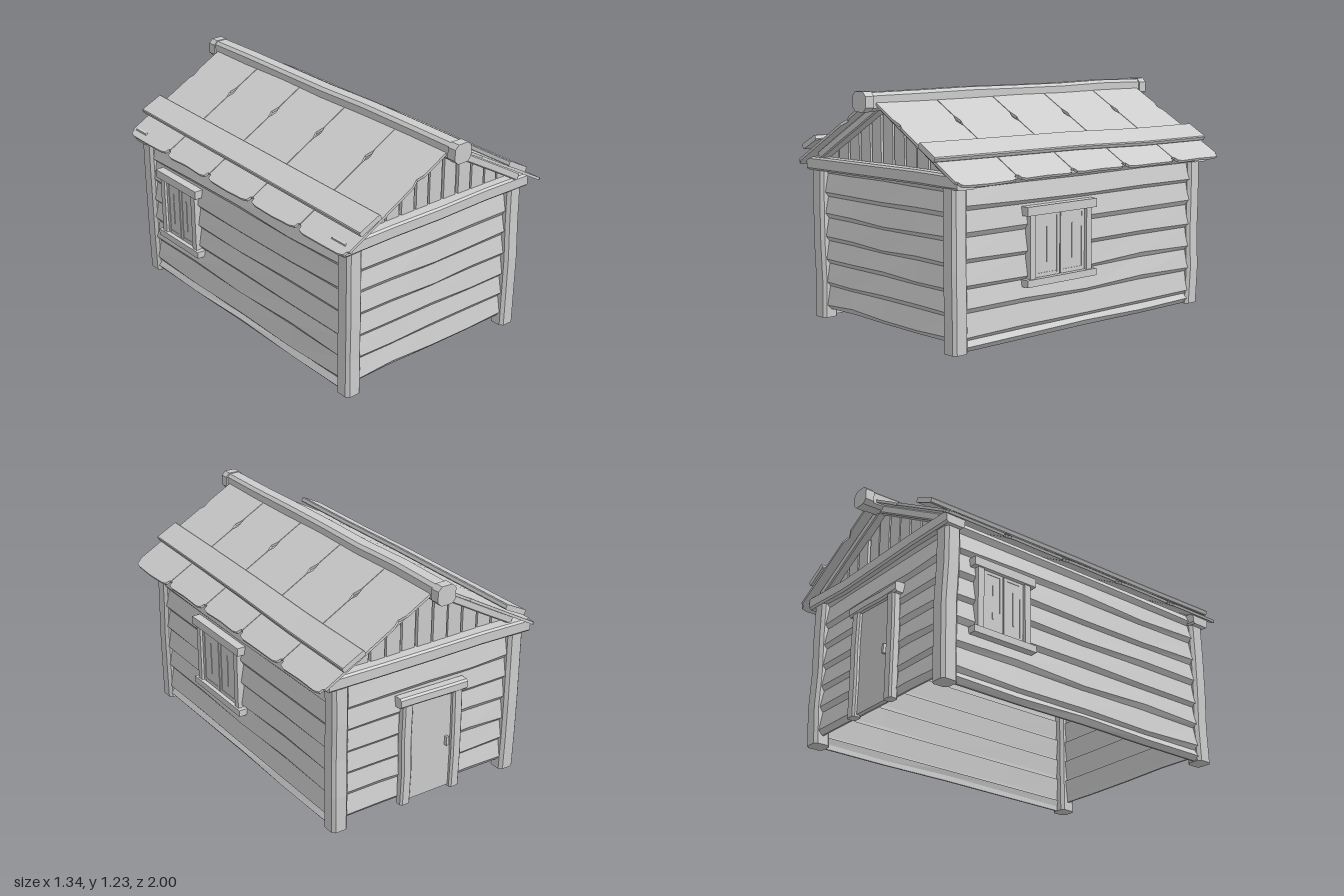
import * as THREE from 'three';

const material = new THREE.MeshStandardMaterial({ color: 0xcccccc, flatShading: true });
const SLOPE = Math.atan(0.556), PEAK = 1.197;

let seed = 7;
const rand = () => { seed = (seed * 16807) % 2147483647; return seed / 2147483647 - 0.5; };

function mesh(parent, name, geometry, x = 0, y = 0, z = 0) {
  const m = new THREE.Mesh(geometry, material);
  m.name = name;
  m.position.set(x, y, z);
  parent.add(m);
  return m;
}
const box = (parent, name, w, h, d, x, y, z) => mesh(parent, name, new THREE.BoxGeometry(w, h, d), x, y, z);

function group(parent, name, x = 0, y = 0, z = 0, turn = 0) {
  const g = new THREE.Group();
  g.name = name;
  g.position.set(x, y, z);
  g.rotation.y = turn;
  parent.add(g);
  return g;
}

// Hewn timber along z, centred, with chamfered corners and a slightly uneven run
function timber(w, h, length, chamfer, steps = 4, wobble = 0.008) {
  const a = w / 2, b = h / 2, c = chamfer;
  const shape = new THREE.Shape([[a, -b + c], [a, b - c], [a - c, b], [-a + c, b],
    [-a, b - c], [-a, -b + c], [-a + c, -b], [a - c, -b]].map(p => new THREE.Vector2(...p)));
  const geo = new THREE.ExtrudeGeometry(shape, { depth: length, steps, bevelEnabled: false });
  geo.translate(0, 0, -length / 2);
  const shifts = Array.from({ length: steps + 1 }, () => [rand() * wobble, rand() * wobble]);
  const p = geo.attributes.position;
  for (let i = 0; i < p.count; i++) {
    const s = shifts[Math.round((p.getZ(i) / length + 0.5) * steps)];
    p.setXY(i, p.getX(i) + s[0], p.getY(i) + s[1]);
  }
  geo.computeVertexNormals();
  return geo;
}

// One lapped board: thin at the top, proud near the bottom, with a sloping lower lip
function sidingBoard(length, y0, y1) {
  const geo = new THREE.BoxGeometry(length, 1, 0.02, 4, 2, 1);
  const wave = Array.from({ length: 5 }, () => rand() * 0.018);
  const p = geo.attributes.position;
  for (let i = 0; i < p.count; i++) {
    const w = wave[Math.round((p.getX(i) / length + 0.5) * 4)];
    const row = Math.round(p.getY(i) * 2), outer = p.getZ(i) > 0;
    const y = row > 0 ? y1 + 0.01 : row === 0 ? y0 + 0.026 + w : y0 + w * 0.4;
    const z = outer ? [-0.008, 0.014, -0.006][row === 0 ? 1 : row > 0 ? 2 : 0]
      : (row > 0 ? -0.028 : -0.018);
    p.setY(i, y);
    p.setZ(i, z);
  }
  geo.computeVertexNormals();
  return geo;
}

function wall(parent, name, length, levels, x, z, turn) {
  const g = group(parent, name, x, 0, z, turn);
  for (let i = 0; i < levels.length - 1; i++)
    mesh(g, 'sidingBoard', sidingBoard(length, levels[i], levels[i + 1]));
  return g;
}

// Shuttered window on a wall facing local +z
function addWindow(parent, x, w) {
  const g = group(parent, 'window', x, 0.47, 0.012);
  box(g, 'windowLintel', w + 0.07, 0.045, 0.05, 0, 0.178, 0.008);
  box(g, 'windowSill', w + 0.07, 0.036, 0.05, 0, -0.18, 0.008);
  const half = w / 2 - 0.03;
  for (const s of [-1, 1]) {
    box(g, 'windowJamb', 0.036, 0.33, 0.038, s * (w / 2 - 0.01), 0, 0.004);
    const cx = s * half / 2;
    box(g, 'shutterPanel', half - 0.006, 0.32, 0.018, cx, 0, 0);
    for (const e of [-1, 1]) {
      box(g, 'shutterStile', 0.02, 0.32, 0.024, cx + e * (half / 2 - 0.013), 0, 0);
      box(g, 'shutterRail', half - 0.006, 0.02, 0.0235, cx, e * 0.15, 0);
    }
    box(g, 'shutterRidge', 0.008, 0.18, 0.024, cx, 0, 0);
  }
}

// Door with heavy frame on a wall facing local +z
function addDoor(parent, x) {
  const g = group(parent, 'door', x, 0, 0.012);
  box(g, 'doorPanel', 0.27, 0.55, 0.025, 0, 0.315, 0.002);
  for (const s of [-1, 1])
    mesh(g, 'doorJamb', timber(0.06, 0.05, 0.56, 0.01, 3), s * 0.155, 0.31, 0.012).rotation.x = -Math.PI / 2;
  mesh(g, 'doorLintel', timber(0.06, 0.055, 0.41, 0.01, 3), 0, 0.61, 0.014).rotation.y = Math.PI / 2;
  box(g, 'doorHandle', 0.014, 0.05, 0.02, 0.1, 0.31, 0.022);
}

// Roof plank in slope space (x down the slope, z along the ridge) with split edges
function roofPlank(z0, z1, length) {
  const g = 0.002, u = 0.25, a = z0 + g, b = z1 - g;
  const pts = [[0, a], [u - 0.04, a], [u, a + 0.016], [u + 0.04, a], [length - 0.035, a],
    [length - 0.03, a + 0.012], [length - 0.008, a + 0.018], [length, a + 0.05],
    [length + rand() * 0.015, (a + b) / 2], [length, b - 0.05], [length - 0.008, b - 0.018],
    [length - 0.03, b - 0.012], [length - 0.035, b], [u + 0.03, b], [u, b - 0.012], [u - 0.05, b], [0, b]];
  const shape = new THREE.Shape(pts.map(([px, pz]) => new THREE.Vector2(px, -pz)));
  const geo = new THREE.ExtrudeGeometry(shape, { depth: 0.014, bevelEnabled: false });
  return geo.rotateX(-Math.PI / 2).translate(0, -0.014, 0);
}

function roofSide(parent, name, turn, battenAt, lift) {
  const side = group(parent, name, 0, PEAK, 0, turn);
  const slope = group(side, 'roofSlope');
  slope.rotation.z = -SLOPE;
  const seams = [-0.935, -0.57, -0.19, 0.18, 0.555, 0.932];
  for (let i = 0; i < 5; i++)
    mesh(slope, 'roofPlank', roofPlank(seams[i], seams[i + 1], 0.758 + rand() * 0.014));
  const batten = mesh(slope, 'roofBatten', timber(0.137, 0.028, 1.89, 0.005, 4, 0.006), battenAt, 0.012 + lift, 0);
  batten.rotation.set(0, -0.022, lift * 3);
  for (const s of [-1, 1])
    mesh(slope, 'rafter', timber(0.042, 0.08, 0.58, 0.006, 3, 0.005), 0.325, -0.036, s * 0.845)
      .rotation.set(0, Math.PI / 2, Math.PI / 2);
}

// Vertical gable boards cut to the roof line
function gable(parent, z, turn) {
  const g = group(parent, 'gable', 0, 0, z, turn);
  const top = x => PEAK - 0.03 - 0.556 * Math.abs(x);
  const panel = (name, pts, depth, back) => mesh(g, name, new THREE.ExtrudeGeometry(
    new THREE.Shape(pts.map(p => new THREE.Vector2(...p))), { depth, bevelEnabled: false }), 0, 0, back);
  panel('gableBacking', [[-0.56, 0.8], [0.56, 0.8], [0.56, top(0.56)], [0, top(0)], [-0.56, top(0.56)]], 0.012, -0.024);
  for (let i = -5; i <= 5; i++) {
    const a = i * 0.093 - 0.04 + rand() * 0.006, b = i * 0.093 + 0.04 + rand() * 0.006;
    const pts = [[a, 0.82], [b, 0.82], [b, top(b)]];
    if (i === 0) pts.push([0, top(0)]);
    panel('gableBoard', [...pts, [a, top(a)]], 0.018, -0.013 + rand() * 0.006);
  }
}

export function createModel() {
  const model = new THREE.Group();
  model.name = 'woodenCabin';

  // Lapped walls, window and door
  const endLevels = [0.05, 0.17, 0.29, 0.41, 0.53, 0.645, 0.77, 0.83];
  const sideLevels = [0.004, 0.055, 0.185, 0.305, 0.43, 0.55, 0.68, 0.785, 0.84];
  wall(model, 'frontWall', 1.07, endLevels, -0.018, 0.845, 0);
  const back = wall(model, 'backWall', 1.07, endLevels, -0.018, -0.86, Math.PI);
  const left = wall(model, 'leftWall', 1.7, sideLevels, 0.54, -0.01, Math.PI / 2);
  const right = wall(model, 'rightWall', 1.7, sideLevels, -0.575, -0.01, -Math.PI / 2);
  addDoor(back, 0.005);
  addWindow(left, -0.2, 0.41);
  addWindow(right, -0.53, 0.31);

  // Corner posts and the cross beams they carry
  for (const z of [0.835, -0.848]) {
    for (const x of [-0.553, 0.518])
      mesh(model, 'cornerPost', timber(0.092, 0.092, 0.8, 0.016, 4), x, 0.403, z).rotation.x = -Math.PI / 2;
    mesh(model, 'crossBeam', timber(0.11, 0.07, 1.22, 0.01, 4, 0.012), -0.015, 0.825, z).rotation.y = Math.PI / 2;
  }
  gable(model, 0.825, 0);
  gable(model, -0.835, Math.PI);

  // Roof and ridge
  roofSide(model, 'leftRoof', 0, 0.525, 0.004);
  roofSide(model, 'rightRoof', Math.PI, 0.56, 0.018);
  mesh(model, 'ridgeBeam', timber(0.09, 0.092, 1.96, 0.016, 6, 0.006), 0, 1.179, 0);
  for (const s of [-1, 1])
    mesh(model, 'ridgeBeamEnd', timber(0.106, 0.1, 0.05, 0.022, 1, 0), 0, 1.178, s * 0.975);
  return model;
}
